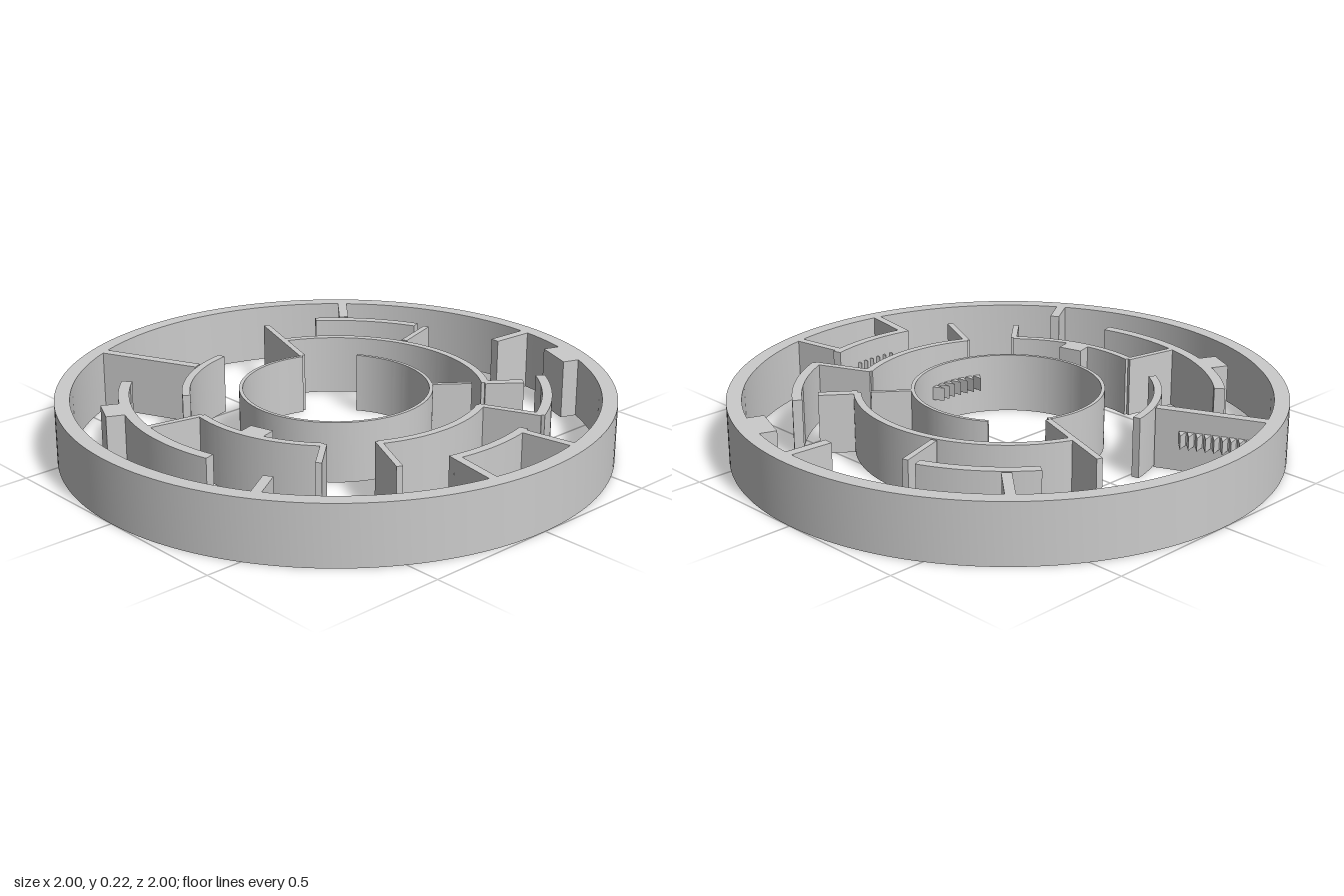
import * as THREE from 'three';
import { toCreasedNormals } from 'three/addons/utils/BufferGeometryUtils.js';

const H = 0.222;
const RAD = Math.PI / 180;

export function createModel() {
  const model = new THREE.Group();
  const material = new THREE.MeshStandardMaterial({ color: 0xcccccc });

  // Raise a plan shape (drawn with y = -z) to a vertical prism
  function raise(name, shape, y = 0, height = H) {
    let geo = new THREE.ExtrudeGeometry(shape, { depth: height, bevelEnabled: false, curveSegments: 96 });
    geo.rotateX(-Math.PI / 2);
    geo.translate(0, y, 0);
    geo = toCreasedNormals(geo, 0.5);
    const mesh = new THREE.Mesh(geo, material);
    mesh.name = name;
    model.add(mesh);
  }

  const polygon = (points) => new THREE.Shape(points.map(([x, z]) => new THREE.Vector2(x, -z)));

  // Curved wall; angles in degrees, measured from +x towards +z
  function arcWall(name, rIn, rOut, from, to) {
    const shape = new THREE.Shape();
    shape.absarc(0, 0, rOut, -from * RAD, -to * RAD, true);
    shape.absarc(0, 0, rIn, -to * RAD, -from * RAD, false);
    shape.closePath();
    raise(name, shape);
  }

  // Straight wall between two plan points
  function wall(name, x0, z0, x1, z1, t) {
    const len = Math.hypot(x1 - x0, z1 - z0);
    const nx = (-(z1 - z0) / len) * t / 2, nz = ((x1 - x0) / len) * t / 2;
    raise(name, polygon([[x0 + nx, z0 + nz], [x1 + nx, z1 + nz], [x1 - nx, z1 - nz], [x0 - nx, z0 - nz]]));
  }

  // Block facing the centre
  function block(name, angle, rIn, rOut, width) {
    const c = Math.cos(angle * RAD), s = Math.sin(angle * RAD);
    wall(name, c * rIn, s * rIn, c * rOut, s * rOut, width);
  }

  // Row of saw teeth along a path; each tooth points along the path's normal
  function teeth(name, count, length, pathAt) {
    for (let i = 0; i < count; i++) {
      const [ax, az] = pathAt(i / count), [bx, bz] = pathAt((i + 0.85) / count);
      const d = Math.hypot(bx - ax, bz - az);
      const nx = ((bz - az) / d) * length, nz = (-(bx - ax) / d) * length;
      const tx = ax + (bx - ax) * 0.35 + nx, tz = az + (bz - az) * 0.35 + nz;
      raise(name, polygon([[ax, az], [bx, bz], [tx, tz]]), 0.1, 0.05);
    }
  }
  const onCircle = (r, from, to) => (t) => {
    const a = (from + (to - from) * t) * RAD;
    return [r * Math.cos(a), r * Math.sin(a)];
  };

  // Outer rim
  const rim = new THREE.Shape().absarc(0, 0, 1, 0, Math.PI * 2, false);
  rim.holes.push(new THREE.Path().absarc(0, 0, 0.945, 0, Math.PI * 2, true));
  raise('outerRim', rim);

  // Curved walls: name, inner radius, outer radius, start and end angle
  [
    ['innerRing', 0.334, 0.347, -34, 291],
    ['middleRightWall', 0.525, 0.552, -68.5, 38.5],
    ['middleFrontWall', 0.522, 0.55, 62.5, 117.5],
    ['middleLeftWall', 0.525, 0.552, 137, 191.5],
    ['middleBackWall', 0.522, 0.55, 213, 259.5],
    ['outerFrontRightWall', 0.735, 0.77, 34, 64],
    ['outerFrontWall', 0.73, 0.762, 74.5, 102.5],
    ['outerLeftWall', 0.737, 0.776, 165.5, 226.5],
    ['outerBackWall', 0.732, 0.768, -53.5, -22.5],
  ].forEach((a) => arcWall(...a));

  // Straight walls: name, plan start, plan end, thickness
  [
    ['backSpoke', 0.128, -0.325, 0.255, -0.68, 0.022],
    ['rightSpoke', 0.53, -0.187, 0.708, -0.244, 0.022],
    ['frontRightSpoke', 0.422, 0.333, 0.532, 0.42, 0.034],
    ['innerSpoke', 0.268, 0.213, 0.383, 0.305, 0.016],
    ['frontLeftLink', -0.243, 0.47, -0.335, 0.665, 0.022],
    ['frontRightLink', 0.242, 0.47, 0.337, 0.68, 0.026],
    ['leftLink', -0.525, -0.108, -0.74, -0.152, 0.022],
    ['leftSpoke', -0.392, 0.365, -0.508, 0.468, 0.022],
    ['rimSpokeFrontLeft', -0.82, 0.515, -0.695, 0.437, 0.035],
    ['rimSpokeRight', 0.785, 0.05, 0.955, 0.062, 0.035],
    ['rimSpokeBackRight', 0.67, -0.69, 0.55, -0.55, 0.035],
    ['rimSpokeBackLeft', -0.395, -0.868, -0.23, -0.505, 0.036],
    ['chamberWallLeft', -0.147, 0.73, -0.183, 0.935, 0.03],
    ['chamberWallRight', 0.176, 0.73, 0.213, 0.93, 0.03],
  ].forEach((a) => wall(...a));

  // Solid blocks on the walls
  block('outerLeftBlock', 206, 0.76, 0.84, 0.11);
  block('innerLeftBlock', 165, 0.467, 0.53, 0.09);
  block('rimBlock', 21, 0.88, 0.95, 0.155);

  // Saw teeth
  teeth('innerRingTeeth', 7, 0.05, onCircle(0.342, 116, 77));
  teeth('chamberTeeth', 6, 0.04, onCircle(0.757, 96.5, 81.5));
  teeth('spokeTeeth', 9, 0.045, (t) => [-0.36 + 0.117 * t, -0.83 + 0.24 * t]);

  // Normals of the circular rows run outward from the centre
  return model;
}
